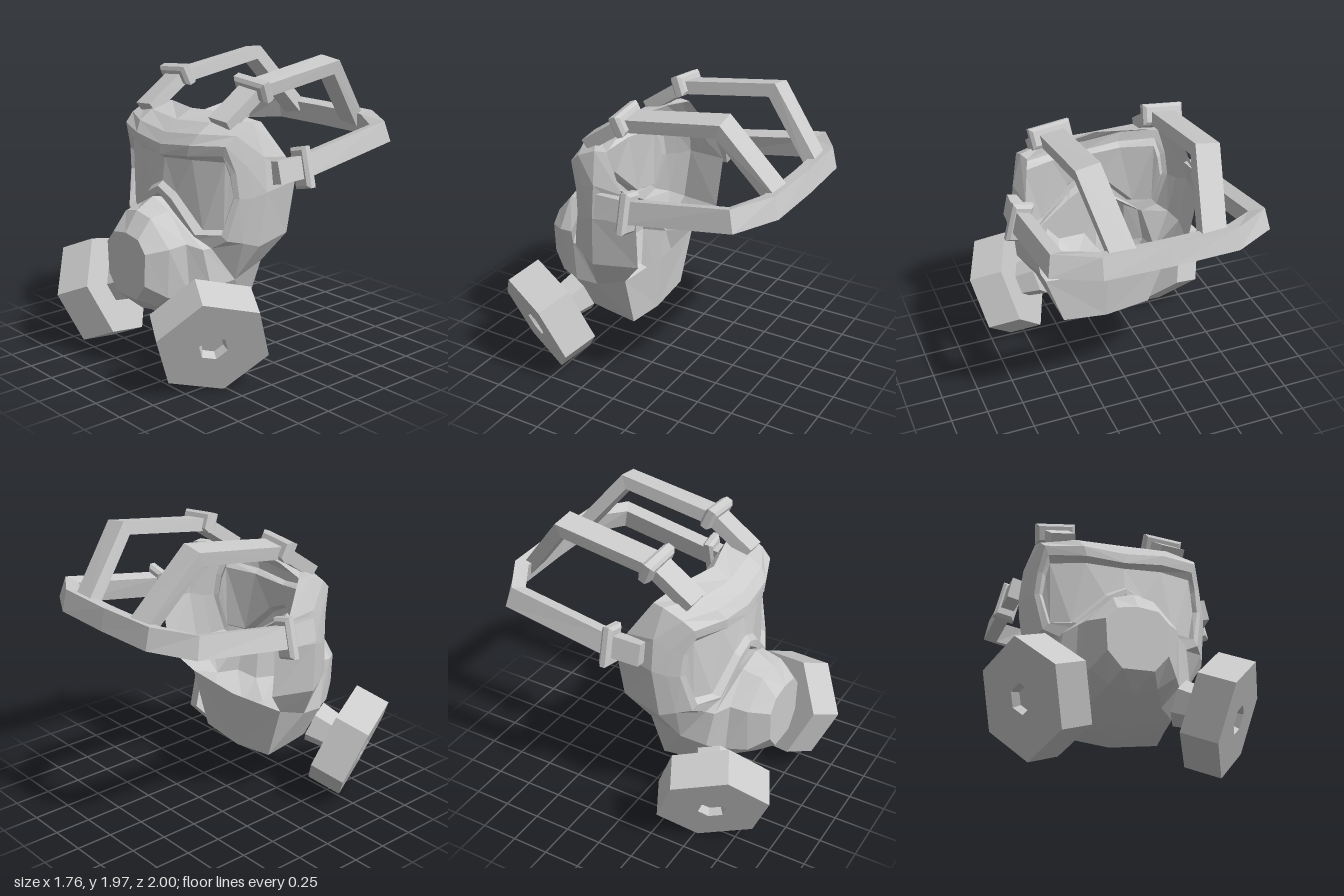
import * as THREE from 'three';

const mat = new THREE.MeshStandardMaterial({ color: 0xcccccc, flatShading: true, side: THREE.DoubleSide });

function add(parent, name, geometry) {
  const mesh = new THREE.Mesh(geometry, mat);
  mesh.name = name;
  parent.add(mesh);
  return mesh;
}

// Flat facets from polygons (each a list of [x, y, z]), optionally mirrored across x = 0
function facets(polys, mirror = true) {
  const out = [];
  const tri = (a, b, c) => out.push(...a, ...b, ...c);
  const flip = ([x, y, z]) => [-x, y, z];
  for (const p of polys) {
    for (let i = 1; i < p.length - 1; i++) {
      tri(p[0], p[i], p[i + 1]);
      if (mirror) tri(flip(p[0]), flip(p[i + 1]), flip(p[i]));
    }
  }
  const g = new THREE.BufferGeometry();
  g.setAttribute('position', new THREE.Float32BufferAttribute(out, 3));
  g.computeVertexNormals();
  return g;
}

// Quads joining successive half rings
function bridge(rings) {
  const polys = [];
  for (let r = 0; r < rings.length - 1; r++) {
    const a = rings[r], b = rings[r + 1];
    for (let c = 0; c < a.length - 1; c++) polys.push([a[c], a[c + 1], b[c + 1], b[c]]);
  }
  return polys;
}

// Rectangular strap swept along a path with mitred corners; across(point) gives the direction of its width
function strap(path, across, width, thick) {
  const pts = path.map(p => new THREE.Vector3(...p));
  const loops = pts.map((p, i) => {
    const k = Math.max(i, 1), j = Math.min(i, pts.length - 2);
    const tin = pts[k].clone().sub(pts[k - 1]).normalize();
    const tout = pts[j + 1].clone().sub(pts[j]).normalize();
    const t = tin.clone().add(tout).normalize();
    const n = t.clone().cross(new THREE.Vector3(...across(p))).normalize();
    const w = n.clone().cross(t).multiplyScalar(width / 2);
    n.multiplyScalar(thick / 2 / t.dot(tin));
    return [[1, 1], [1, -1], [-1, -1], [-1, 1]].map(([u, v]) =>
      p.clone().addScaledVector(w, u).addScaledVector(n, v).toArray());
  });
  const polys = [loops[0].slice().reverse(), loops[loops.length - 1]];
  for (let i = 0; i < loops.length - 1; i++) {
    for (let k = 0; k < 4; k++) {
      const m = (k + 1) % 4;
      polys.push([loops[i][k], loops[i][m], loops[i + 1][m], loops[i + 1][k]]);
    }
  }
  return facets(polys, false);
}

// Block with chamfered edges, centred on its origin
function buckle(w, h, d, c = 0.02) {
  const x = w / 2 - c, y = h / 2 - c;
  const shape = new THREE.Shape([[-x, -y], [x, -y], [x, y], [-x, y]].map(p => new THREE.Vector2(...p)));
  return new THREE.ExtrudeGeometry(shape, {
    depth: d - 2 * c, bevelEnabled: true, bevelSize: c, bevelThickness: c, bevelSegments: 1,
  }).translate(0, 0, c - d / 2);
}

export function createModel() {
  const group = new THREE.Group();
  group.name = 'respiratorMask';

  // Half rings, from top centre round the side to bottom centre
  const glass = [[0, 1.39, .5], [.25, 1.41, .48], [.47, 1.42, .4], [.49, 1.33, .375], [.505, 1.2, .36],
    [.46, .99, .4], [.34, .975, .47], [.13, 1.18, .51], [0, 1.24, .52]];
  const frameIn = [[0, 1.41, .54], [.25, 1.44, .52], [.485, 1.465, .43], [.515, 1.35, .395], [.53, 1.2, .38],
    [.48, .965, .44], [.32, .95, .52], [.12, 1.15, .55], [0, 1.21, .56]];
  const frameOut = [[0, 1.48, .535], [.27, 1.51, .52], [.51, 1.53, .43], [.545, 1.36, .375], [.56, 1.2, .36],
    [.51, .93, .42], [.3, .91, .52], [.1, 1.1, .55], [0, 1.17, .56]];
  const base = [[0, 1.55, .49], [.3, 1.58, .47], [.53, 1.59, .36], [.575, 1.4, .31], [.595, 1.2, .29],
    [.56, .91, .33], [.41, .87, .46], [.12, 1.06, .51], [0, 1.13, .51]];
  const mid = [[0, 1.62, .4], [.3, 1.64, .37], [.54, 1.65, .23], [.61, 1.45, .2], [.635, 1.23, .2],
    [.6, .88, .23], [.45, .64, .3], [.31, .36, .3], [0, .28, .3]];
  const rim = [[0, 1.68, .28], [.3, 1.68, .2], [.52, 1.65, .15], [.59, 1.42, 0], [.58, 1.25, -.09],
    [.53, .9, -.07], [.45, .72, .08], [.32, .34, .1], [0, .3, .1]];

  // Lens and its raised frame
  const g = glass;
  add(group, 'visorLens', facets([[g[0], g[8], g[7], g[1]], [g[1], g[7], g[6], g[2]],
    [g[2], g[6], g[5], g[3]], [g[3], g[5], g[4]]]));
  add(group, 'visorFrame', facets(bridge([glass, frameIn, frameOut, base])));

  // Face shell, open behind the muzzle, with the wall behind the chin
  add(group, 'faceShell', facets([
    ...bridge([base.slice(0, 7), mid.slice(0, 7)]),
    ...bridge([mid, rim]),
    [rim[6], rim[7], rim[8], [0, .7, .06]],
  ]));

  // Muzzle stepping out from the shell, over full cheeks, to a flat front plate
  const plate = [[0, .95, .82], [.13, .93, .82], [.2, .85, .82], [.19, .64, .82], [.1, .53, .82], [0, .53, .82]];
  const lip = [[0, 1.08, .73], [.13, 1.05, .72], [.29, .88, .7], [.27, .56, .7], [.15, .47, .7], [0, .42, .7]];
  const collar = [[0, 1.15, .6], [.14, 1.08, .58], [.32, .9, .59], [.33, .56, .57], [.22, .42, .54], [0, .36, .55]];
  const cheek = [[0, 1.14, .55], [.13, 1.07, .54], [.4, .87, .52], [.43, .62, .48], [.32, .39, .43], [0, .31, .43]];
  const root = [base[8], base[7], base[6], mid[6], mid[7], mid[8]];
  add(group, 'muzzle', facets([plate.slice().reverse(), ...bridge([plate, lip, collar, cheek, root])]));

  // Hexagonal filters with a recessed socket, on short necks
  const axis = new THREE.Vector3(.824, -.372, .426).normalize();
  const right = axis.clone().cross(new THREE.Vector3(.15, .665, .29)).normalize();
  const up = right.clone().cross(axis);
  const profile = [[0, -.243], [.372, -.243], [.372, 0], [.095, 0], [.075, -.05], [0, -.05]]
    .map(([r, y]) => new THREE.Vector2(r, y));
  for (const s of [1, -1]) {
    const side = new THREE.Group();
    side.name = s > 0 ? 'leftSide' : 'rightSide';
    side.scale.x = s;
    group.add(side);

    const filter = new THREE.Group();
    filter.name = 'filter';
    filter.applyMatrix4(new THREE.Matrix4().makeBasis(right, axis, up).setPosition(.673, .337, .665));
    side.add(filter);
    add(filter, 'filterCanister', new THREE.LatheGeometry(profile, 6));
    add(filter, 'filterNeck', new THREE.CylinderGeometry(.13, .15, .16, 6)).position.y = -.31;

    // Strap over the head, rolled slightly outward, joining the rear band
    add(side, 'topStrap', strap([[.375, 1.635, .36], [.375, 1.82, .09], [.375, 1.92, -.575], [.28, 1.5, -.92]],
      () => [1, -.12, 0], .16, .085));
    const topBuckle = add(side, 'topBuckle', buckle(.27, .135, .085));
    topBuckle.position.set(.38, 1.835, .09);
    topBuckle.rotation.set(.4, 0, -.1);

    const sideBuckle = add(side, 'sideBuckle', buckle(.14, .265, .075));
    sideBuckle.position.set(.66, 1.35, -.08);
    sideBuckle.rotation.z = .24;
  }

  // Band round the back of the head, its top edge leaning inward
  const half = [[.64, 1.345, .14], [.655, 1.355, -.08], [.66, 1.475, -.79], [.42, 1.495, -.93]];
  const other = half.map(([x, y, z]) => [-x, y, z]).reverse();
  add(group, 'rearBand', strap([...half, [0, 1.495, -.94], ...other],
    p => [-.35 * p.x, 1, p.z < -.5 ? .2 : 0], .145, .09));

  return group;
}
